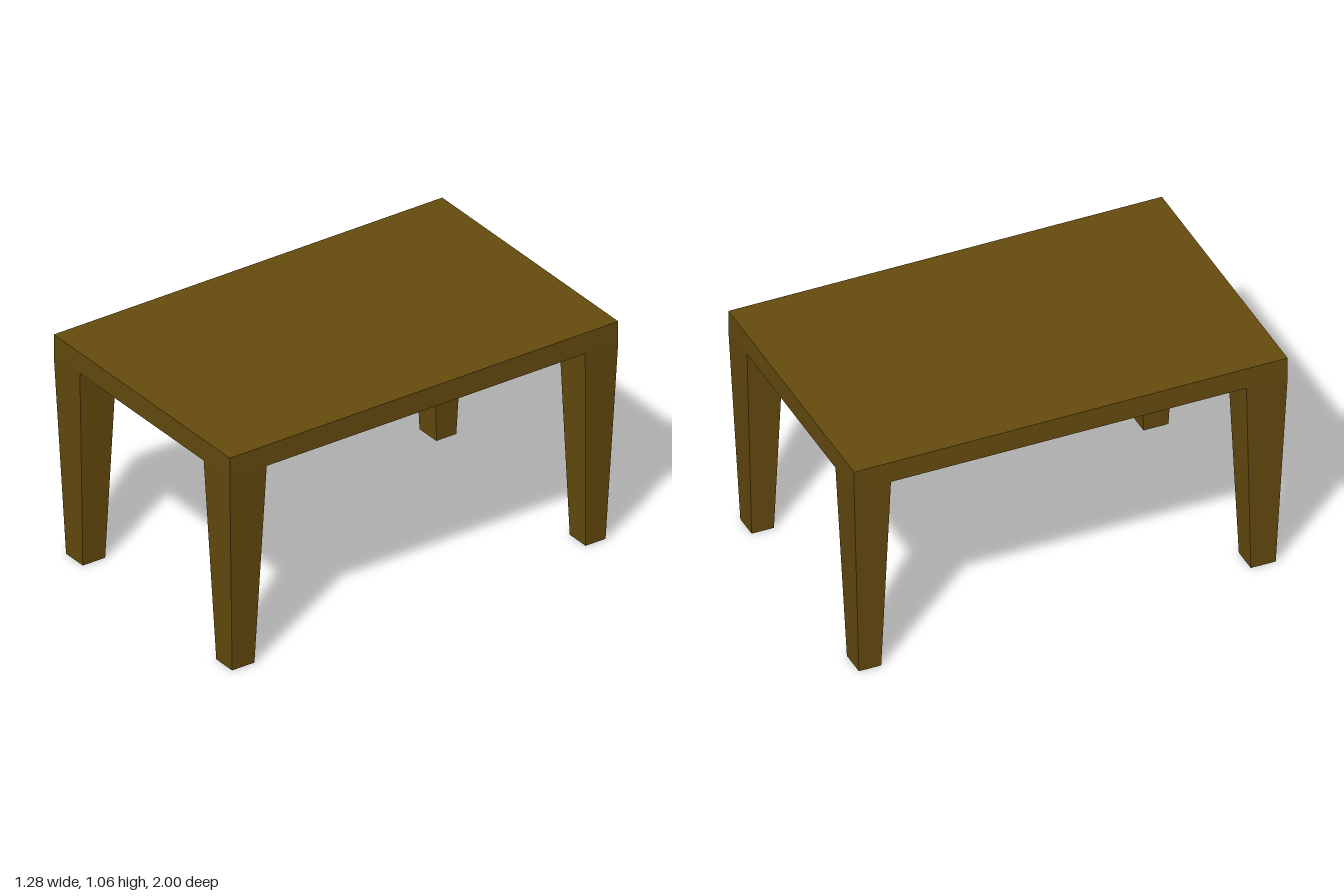
import * as THREE from 'three';

export function createModel() {
  const table = new THREE.Group();
  table.name = 'table';
  const wood = new THREE.MeshStandardMaterial({ color: 0x654b0e, flatShading: true });
  const legHeight = 0.96, topThickness = 0.1;

  // Flat rectangular top
  const top = new THREE.Mesh(new THREE.BoxGeometry(1.28, topThickness, 2), wood);
  top.name = 'tableTop';
  top.position.y = legHeight + topThickness / 2;
  table.add(top);

  // Square leg tapering from the corner of the top to a smaller foot;
  // each range is [inner, outer] distance from the centre
  function addLeg(name, sx, sz, topX, footX, topZ, footZ) {
    const geometry = new THREE.BoxGeometry(1, legHeight, 1);
    const p = geometry.attributes.position;
    for (let i = 0; i < p.count; i++) {
      const isTop = p.getY(i) > 0;
      const x = isTop ? topX : footX, z = isTop ? topZ : footZ;
      p.setX(i, sx * x[p.getX(i) * sx > 0 ? 1 : 0]);
      p.setZ(i, sz * z[p.getZ(i) * sz > 0 ? 1 : 0]);
    }
    geometry.translate(0, legHeight / 2, 0);
    geometry.computeVertexNormals();
    const leg = new THREE.Mesh(geometry, wood);
    leg.name = name;
    table.add(leg);
  }

  // Four legs, the rear pair slightly slimmer in depth
  for (const sx of [1, -1]) {
    const side = sx > 0 ? 'Left' : 'Right';
    const footX = sx > 0 ? [0.485, 0.6] : [0.485, 0.607];
    addLeg('front' + side + 'Leg', sx, 1, [0.45, 0.64], footX, [0.81, 1], [0.845, 0.96]);
    addLeg('back' + side + 'Leg', sx, -1, [0.45, 0.64], footX, [0.83, 1], [0.86, 0.963]);
  }
  return table;
}
